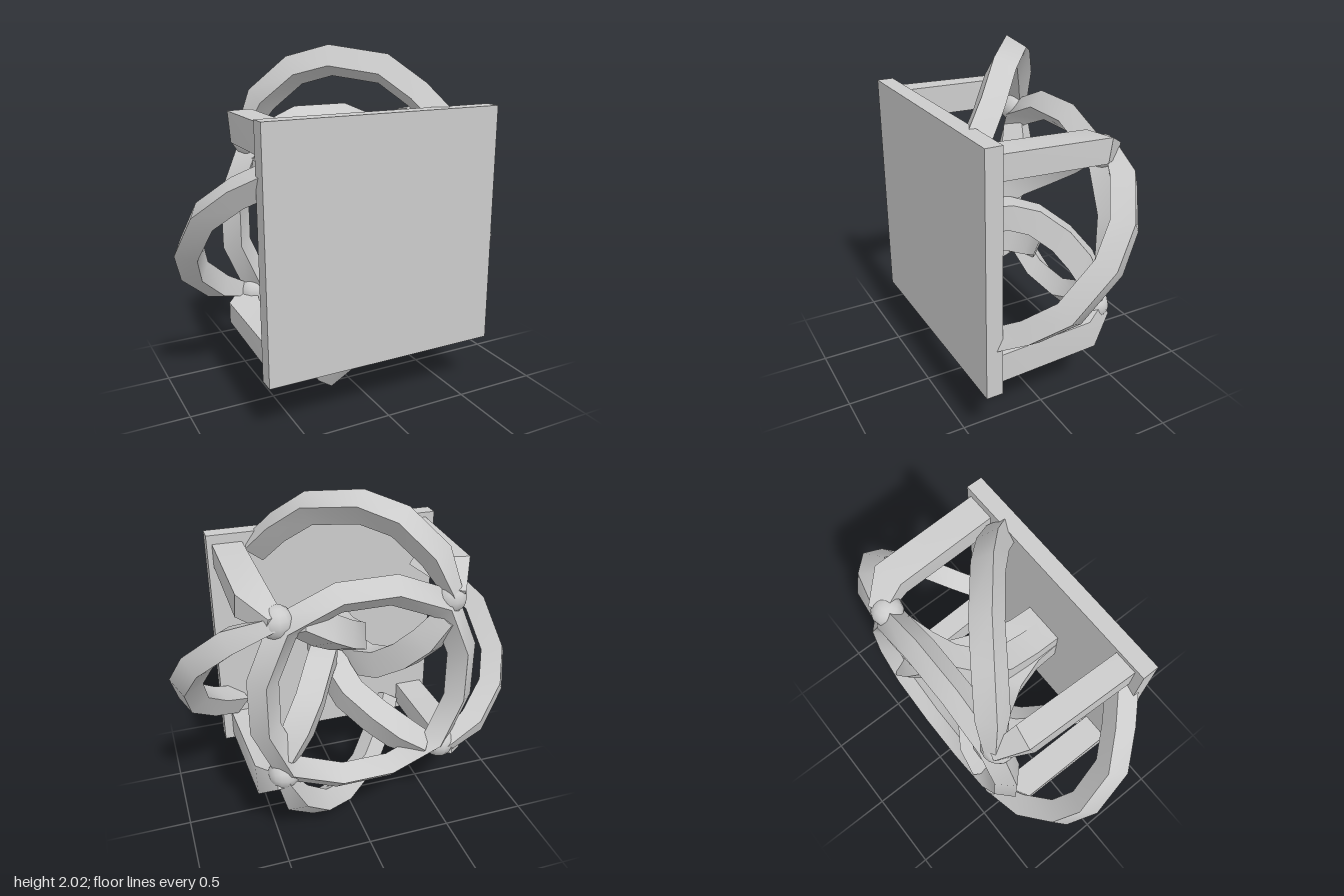
import * as THREE from 'three';
import { toCreasedNormals } from 'three/addons/utils/BufferGeometryUtils.js';

const material = new THREE.MeshStandardMaterial({ color: 0xcccccc });
const V = (x, y, z) => new THREE.Vector3(x, y, z);

// Rectangular bar swept along a path; side sets the direction of its width, tip scales the last section
function bar(points, side, w, h, { closed = false, roll = 0, tip = 1 } = {}) {
  const count = points.length, pos = [], index = [];
  for (let i = 0; i < count; i++) {
    const prev = closed ? points[(i + count - 1) % count] : points[Math.max(i - 1, 0)];
    const next = closed ? points[(i + 1) % count] : points[Math.min(i + 1, count - 1)];
    const dIn = points[i].clone().sub(prev), dOut = next.clone().sub(points[i]);
    if (dIn.lengthSq() === 0) dIn.copy(dOut);
    if (dOut.lengthSq() === 0) dOut.copy(dIn);
    dIn.normalize();
    const t = dIn.clone().add(dOut.normalize()).normalize();
    const mitre = 1 / t.dot(dIn);
    const n = side.clone().projectOnPlane(t).normalize();
    const b = t.clone().cross(n);
    const size = i === count - 1 ? tip / 2 : 0.5;
    for (const [sx, sy] of [[1, 1], [-1, 1], [-1, -1], [1, -1]]) {
      const x = sx * w * size, y = sy * h * size;
      const p = points[i].clone()
        .addScaledVector(n, x * Math.cos(roll) - y * Math.sin(roll))
        .addScaledVector(b, (x * Math.sin(roll) + y * Math.cos(roll)) * mitre);
      pos.push(p.x, p.y, p.z);
    }
  }
  for (let i = 0; i < (closed ? count : count - 1); i++) {
    const a = i * 4, c = ((i + 1) % count) * 4;
    for (let j = 0; j < 4; j++) {
      const k = (j + 1) % 4;
      index.push(a + j, a + k, c + k, a + j, c + k, c + j);
    }
  }
  if (!closed) {
    const e = (count - 1) * 4;
    index.push(0, 3, 2, 0, 2, 1, e, e + 1, e + 2, e, e + 2, e + 3);
  }
  const geo = new THREE.BufferGeometry();
  geo.setAttribute('position', new THREE.Float32BufferAttribute(pos, 3));
  geo.setIndex(index);
  return toCreasedNormals(geo, 0.6);
}

function mesh(name, geometry, parent) {
  const m = new THREE.Mesh(geometry, material);
  m.name = name;
  parent.add(m);
  return m;
}

export function createModel() {
  const model = new THREE.Group();
  model.name = 'plateWithLoops';
  const body = new THREE.Group();
  body.name = 'body';
  body.position.y = 1;
  model.add(body);

  // Square front plate
  mesh('frontPlate', new THREE.BoxGeometry(1.38, 1.38, 0.095), body).position.z = 0.405;

  // Ring at the back, with a diamond section, slightly drawn out at the four joints
  const ring = [];
  for (let i = 0; i < 12; i++) {
    const a = (i + 0.5) * Math.PI / 6, r = i % 3 === 1 ? 0.62 : 0.58;
    ring.push(V(r * Math.cos(a), r * Math.sin(a), -0.37));
  }
  mesh('backRing', bar(ring, V(0, 0, 1), 0.12, 0.12, { closed: true, roll: Math.PI / 4 }), body);

  // Outer arch: plate corner, over the side, to the opposite back corner
  const arch = bar([
    V(0.41, 0.59, 0.37), V(0.31, 0.745, 0.23), V(0.17, 0.88, 0.09), V(-0.06, 0.922, -0.1),
    V(-0.23, 0.865, -0.22), V(-0.39, 0.7, -0.33), V(-0.48, 0.49, -0.4),
  ], V(0.77, 0, -0.9), 0.125, 0.125, { roll: 0.5, tip: 0.55 });

  // Straight strut: plate corner to back corner
  const strut = bar([V(0.575, 0.57, 0.38), V(0.57, 0.545, -0.25), V(0.49, 0.49, -0.4)],
    V(0, 1, 0), 0.135, 0.17, { tip: 0.55 });

  // Inner strut: plate centre, back along the depth, then swinging out into the ring by the corner
  const inner = bar([
    V(-0.05, 0.05, 0.38), V(-0.05, 0.06, 0.2), V(-0.045, 0.12, 0), V(-0.01, 0.19, -0.12),
    V(0.1, 0.28, -0.25), V(0.22, 0.37, -0.33), V(0.36, 0.46, -0.37),
  ], V(1, -1, 0), 0.15, 0.15, { roll: Math.PI / 4, tip: 0.8 });

  // Soft joint where the bars meet
  const joint = new THREE.SphereGeometry(0.09, 12, 8);

  // Four quarters turned about the depth axis
  for (let k = 0; k < 4; k++) {
    const quarter = new THREE.Group();
    quarter.name = `quarter${k + 1}`;
    quarter.rotation.z = -k * Math.PI / 2;
    mesh('outerArch', arch, quarter);
    mesh('straightStrut', strut, quarter);
    mesh('innerStrut', inner, quarter);
    mesh('joint', joint, quarter).position.set(0.47, 0.47, -0.36);
    body.add(quarter);
  }
  return model;
}
